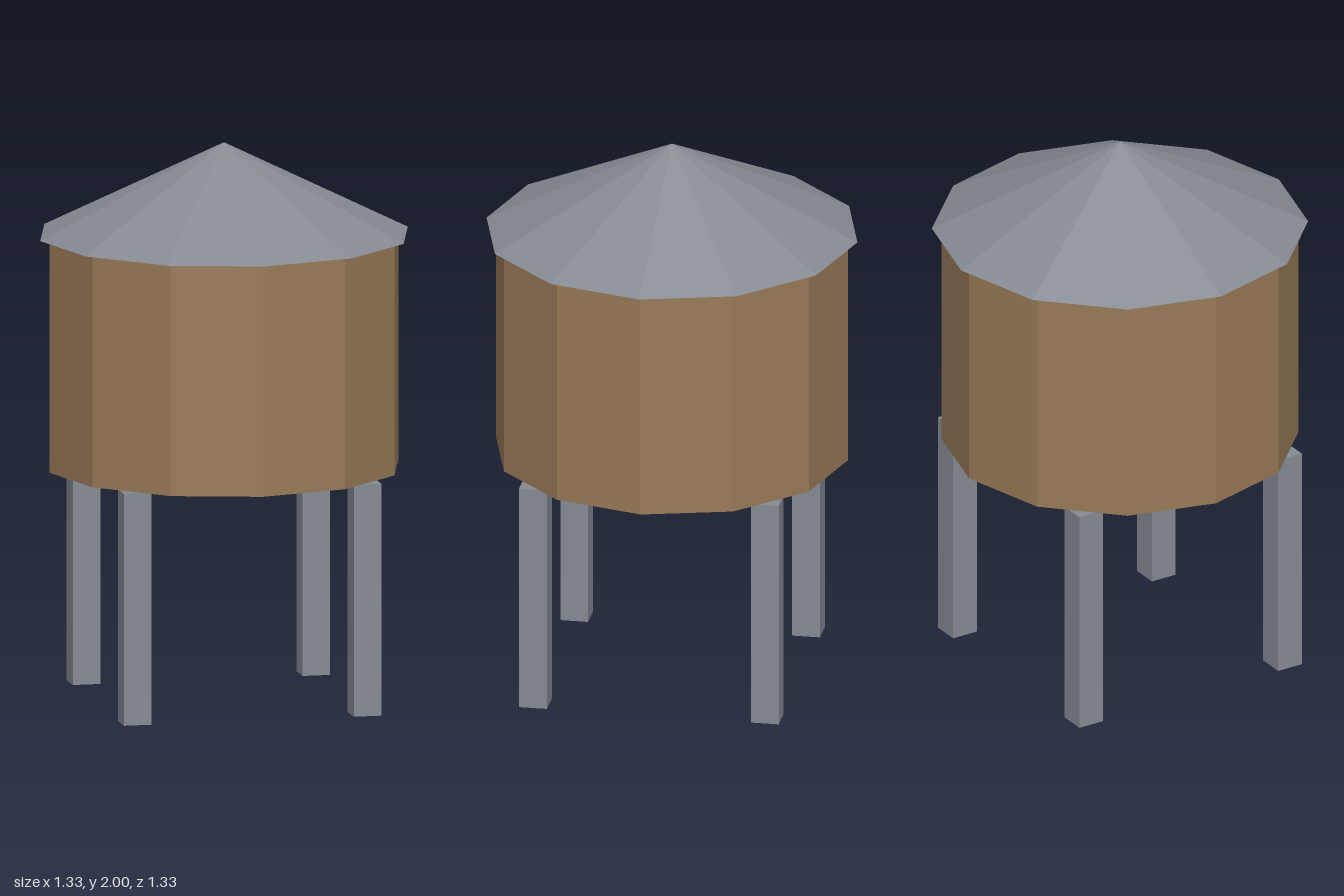
import * as THREE from 'three';

export function createModel() {
  const model = new THREE.Group();
  model.name = 'waterTower';

  const wood = new THREE.MeshStandardMaterial({ color: 0x9a7b58, flatShading: true, side: THREE.DoubleSide });
  wood.name = 'wood brown';
  const metal = new THREE.MeshStandardMaterial({ color: 0x858a93, flatShading: true });
  metal.name = 'metal grey';

  const add = (name, geometry, material, x, y, z) => {
    const mesh = new THREE.Mesh(geometry, material);
    mesh.name = name;
    mesh.position.set(x, y, z);
    model.add(mesh);
  };

  const sides = 12;
  const legHeight = 0.835;
  const tankHeight = 0.835;
  const roofHeight = 0.33;

  // Open-bottomed tank wall
  add('tank', new THREE.CylinderGeometry(0.633, 0.633, tankHeight, sides, 1, true), wood,
    0, legHeight + tankHeight / 2, 0);

  // Conical roof with a small overhang
  add('roof', new THREE.ConeGeometry(0.667, roofHeight, sides), metal,
    0, legHeight + tankHeight + roofHeight / 2, 0);

  // Four square legs
  const legGeometry = new THREE.BoxGeometry(0.1, legHeight, 0.1);
  for (const [sz, end] of [[1, 'front'], [-1, 'back']]) {
    for (const [sx, side] of [[1, 'Left'], [-1, 'Right']]) {
      add(`${end}${side}Leg`, legGeometry, metal, sx * 0.417, legHeight / 2, sz * 0.417);
    }
  }

  return model;
}
